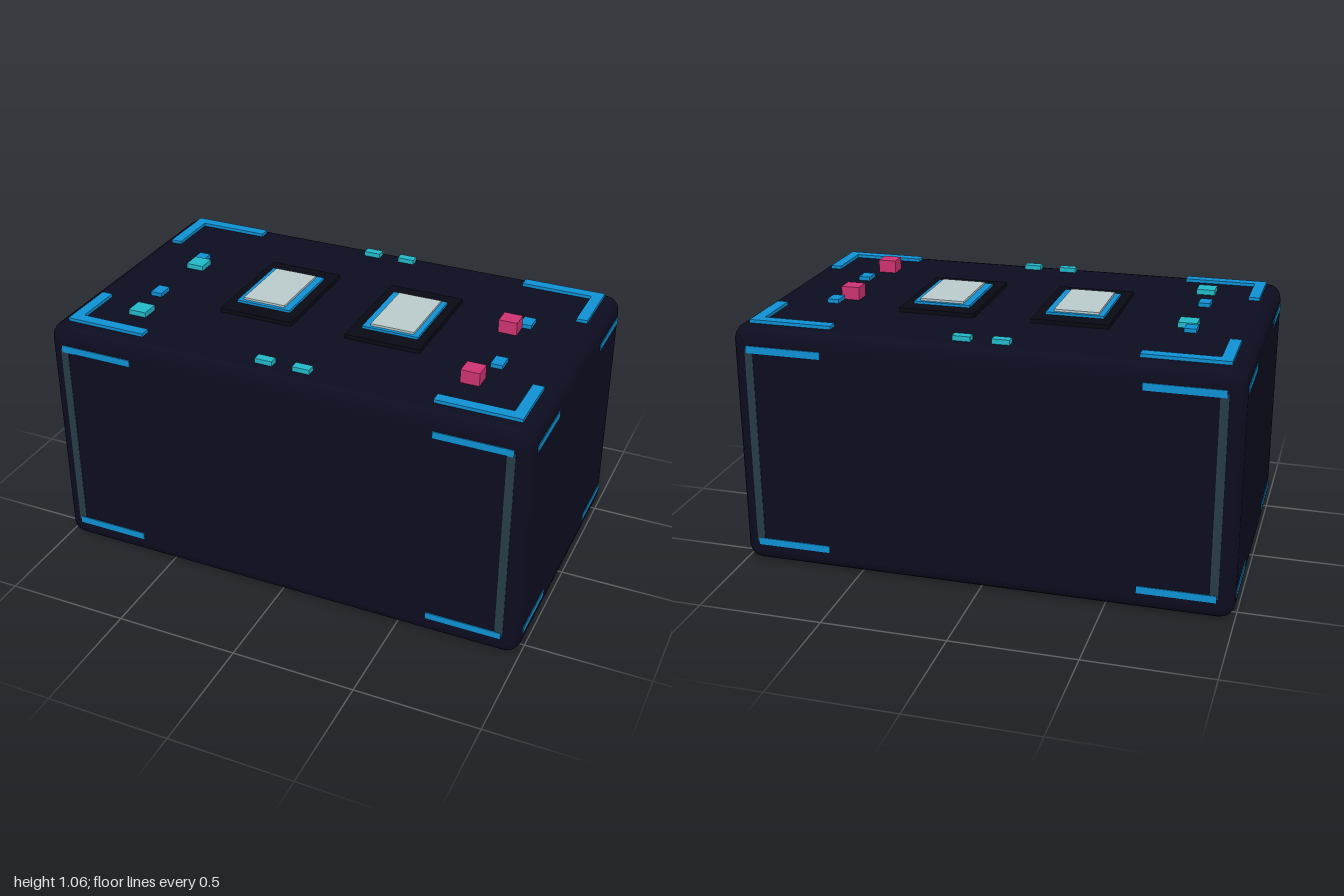
import * as THREE from 'three';
import { RoundedBoxGeometry } from 'three/addons/geometries/RoundedBoxGeometry.js';

const material = (name, color) => {
  const m = new THREE.MeshStandardMaterial({ color });
  m.name = name;
  return m;
};

export function createModel() {
  const model = new THREE.Group();
  model.name = 'consoleCrate';

  const navy = material('navy shell', 0x0c0c20);
  const black = material('black bezel', 0x090914);
  const blue = material('blue trim', 0x0e90d2);
  const teal = material('teal button', 0x22b8c8);
  const pink = material('pink button', 0xcc3370);
  const grey = material('pale screen', 0xb9c9ca);
  const slate = material('slate strip', 0x263c46);

  // Box given by its min and max on each axis
  const block = (name, mat, [x0, x1], [y0, y1], [z0, z1], parent = model) => {
    const mesh = new THREE.Mesh(new THREE.BoxGeometry(x1 - x0, y1 - y0, z1 - z0), mat);
    mesh.position.set((x0 + x1) / 2, (y0 + y1) / 2, (z0 + z1) / 2);
    mesh.name = name;
    parent.add(mesh);
    return mesh;
  };
  const around = (c, size) => [c - size / 2, c + size / 2];
  // Mirrors a range across zero when s is -1
  const side = (s, a, b) => (s > 0 ? [a, b] : [-b, -a]);

  // Shell with softened edges
  const shell = new THREE.Mesh(new RoundedBoxGeometry(1.994, 1.005, 1.194, 2, 0.06), navy);
  shell.position.y = 0.5025;
  shell.name = 'shell';
  model.add(shell);

  for (const sx of [-1, 1]) {
    for (const sz of [-1, 1]) {
      // Corner bracket on the lid
      const bracket = new THREE.Group();
      bracket.name = 'lidBracket';
      const zo = sz > 0 ? 0.53 : 0.54;
      block('bracketLong', blue, side(sx, 0.6, 0.935), [0.995, 1.018], side(sz, zo - 0.045, zo), bracket);
      block('bracketShort', blue, side(sx, 0.89, 0.935), [0.995, 1.018], side(sz, 0.28, zo - 0.045), bracket);
      model.add(bracket);

      // Upright strip on the front and back
      block('uprightStrip', slate, side(sx, 0.905, 0.937), [0.095, 0.915], side(sz, 0.59, 0.599));

      // Short trim bars at the top and bottom of each wall
      for (const y of [0.095, 0.915]) {
        block('faceTrim', blue, side(sx, 0.625, 0.93), around(y, 0.029), side(sz, 0.59, 0.601));
        block('sideTrim', blue, side(sx, 0.99, 1), around(y, 0.029), side(sz, 0.275, 0.535));
      }

      // Small lid pads near the front and back edges, and beside the buttons
      block('edgePad', teal, around(sx * 0.077, 0.07), [0.995, 1.024], around(sz > 0 ? 0.514 : -0.52, 0.037));
      block('sidePad', blue, around(sx > 0 ? 0.725 : -0.73, 0.048), [0.995, 1.021], around(sz > 0 ? 0.17 : -0.177, 0.067));
    }

    // Screen: bezel, blue frame and pale glass
    const screen = new THREE.Group();
    screen.name = 'screen';
    block('bezel', black, around(sx * 0.27, 0.31), [0.995, 1.022], [-0.252, 0.218], screen);
    block('screenFrame', blue, around(sx * 0.272, 0.232), [1.02, 1.032], [-0.18, 0.145], screen);
    block('screenGlass', grey, around(sx * 0.276, 0.18), [1.03, 1.041], [-0.165, 0.13], screen);
    model.add(screen);
  }

  // Flat teal buttons on one side, raised pink ones on the other
  for (const z of [-0.118, 0.348]) {
    block('tealButton', teal, around(-0.71, 0.075), [0.995, 1.026], around(z, 0.075));
  }
  for (const z of [-0.108, 0.32]) {
    block('pinkButton', pink, around(0.675, 0.075), [0.995, 1.058], around(z, 0.072));
  }

  return model;
}
